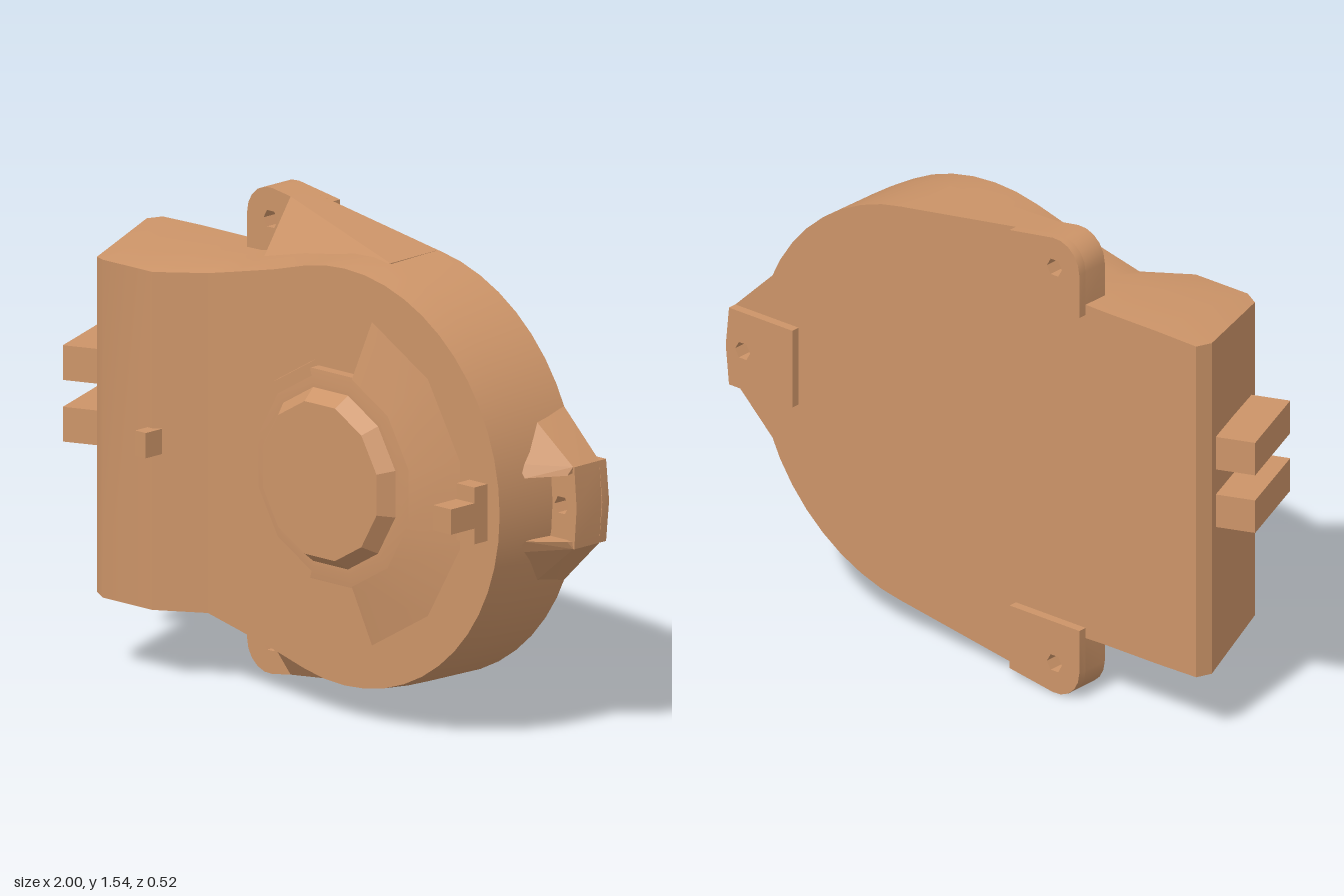
import * as THREE from 'three';
import { toCreasedNormals } from 'three/addons/utils/BufferGeometryUtils.js';
import { ConvexGeometry } from 'three/addons/geometries/ConvexGeometry.js';

const material = new THREE.MeshStandardMaterial({ color: 0xcc9468 });
const MID_Y = 0.77; // height of the horizontal symmetry line
const BACK = -0.23; // plane of the back plate

function add(parent, name, geometry, crease = 0.5) {
  const mesh = new THREE.Mesh(toCreasedNormals(geometry, crease), material);
  mesh.name = name;
  parent.add(mesh);
  return mesh;
}

// Box given by its limits on each axis
function block(parent, name, [x0, x1], [y0, y1], [z0, z1]) {
  const mesh = add(parent, name, new THREE.BoxGeometry(x1 - x0, y1 - y0, z1 - z0));
  mesh.position.set((x0 + x1) / 2, (y0 + y1) / 2, (z0 + z1) / 2);
  return mesh;
}

// Flat plate with an optional hexagonal screw hole
function plate(parent, name, points, z0, z1, hole) {
  const shape = new THREE.Shape(points.map(p => new THREE.Vector2(...p)));
  if (hole) {
    const ring = [];
    for (let i = 0; i < 6; i++) {
      const a = (i * Math.PI) / 3;
      ring.push(new THREE.Vector2(hole[0] + 0.03 * Math.cos(a), hole[1] + 0.03 * Math.sin(a)));
    }
    shape.holes.push(new THREE.Path(ring));
  }
  const geometry = new THREE.ExtrudeGeometry(shape, { depth: z1 - z0, bevelEnabled: false });
  geometry.translate(0, 0, z0);
  return add(parent, name, geometry);
}

function convex(parent, name, points) {
  return add(parent, name, new ConvexGeometry(points.map(p => new THREE.Vector3(...p))), 0.1);
}

// Housing: sections across the height, lofted from the square end to the round end
function housingGeometry() {
  const section = (back, middle, front) => {
    const half = [back, middle, front];
    return [
      ...half.map(([x, h, z]) => [x, -h, z]),
      ...half.reverse().map(([x, h, z]) => [x, h, z]),
    ];
  };
  const sections = [section([-0.87, 0.56, BACK], [-0.89, 0.56, -0.18], [-0.76, 0.53, 0.175])];
  const neck = [
    [-0.71, 0.56, 0.2], [-0.5, 0.56, 0.2], [-0.36, 0.563, 0.1],
    [-0.24, 0.59, 0.1], [-0.08, 0.627, 0.1],
  ];
  for (const [x, h, z] of neck) {
    sections.push(section([x, h + 0.003, BACK], [x, h, 0], [x, h - 0.025, z]));
  }
  const steps = 14;
  for (let i = 0; i <= steps; i++) {
    const a = THREE.MathUtils.lerp(1.83, 0, i / steps);
    const at = (r, z) => [0.22 + r * Math.cos(a), r * Math.sin(a), z];
    sections.push(section(at(0.675, BACK), at(0.67, 0), at(0.66, 0.1)));
  }
  const positions = [];
  const quad = (a, b, c, d) => positions.push(...a, ...b, ...c, ...a, ...c, ...d);
  for (let i = 0; i < sections.length - 1; i++) {
    const p = sections[i], q = sections[i + 1];
    for (let j = 0; j < 6; j++) quad(p[j], q[j], q[(j + 1) % 6], p[(j + 1) % 6]);
  }
  const end = sections[0];
  quad(end[0], end[1], end[4], end[5]);
  quad(end[1], end[2], end[3], end[4]);
  const geometry = new THREE.BufferGeometry();
  geometry.setAttribute('position', new THREE.Float32BufferAttribute(positions, 3));
  return geometry;
}

// Turned part facing forward, swept counter-clockwise from a start angle in degrees
function turned(parent, name, profile, sides, fromDeg, sweepDeg) {
  const rad = Math.PI / 180;
  const geometry = new THREE.LatheGeometry(
    profile.map(p => new THREE.Vector2(...p)), sides, (fromDeg + 90) * rad, sweepDeg * rad);
  geometry.rotateX(Math.PI / 2);
  geometry.translate(0.2, 0, 0);
  return add(parent, name, geometry, 0.15);
}

// Upper mounting ear with its sloping brace; mirrored for the lower one
function sideEar() {
  const ear = new THREE.Group();
  const rounded = [];
  for (let i = 0; i <= 5; i++) {
    const a = Math.PI - (i / 5) * (Math.PI / 2 + 0.12);
    rounded.push([-0.33 + 0.095 * Math.cos(a), 0.675 + 0.095 * Math.sin(a)]);
  }
  const hole = [-0.325, 0.67];
  plate(ear, 'earPad', [[-0.425, 0.53], ...rounded, [-0.145, 0.742], [-0.145, 0.53]], -0.26, BACK, hole);
  plate(ear, 'earBoss', [[-0.425, 0.54], ...rounded, [-0.24, 0.757], [-0.24, 0.54]], BACK, -0.14, hole);
  convex(ear, 'earBrace', [
    [-0.24, 0.757, BACK], [-0.24, 0.757, -0.14], [-0.24, 0.57, -0.01], [-0.24, 0.5, BACK],
    [0.3, 0.67, BACK], [0.3, 0.668, -0.02], [0.3, 0.6, -0.02], [0.3, 0.6, BACK],
  ]);
  return ear;
}

export function createModel() {
  const model = new THREE.Group();
  const body = new THREE.Group();
  body.name = 'gearHousing';
  body.position.y = MID_Y;
  model.add(body);

  add(body, 'housing', housingGeometry());

  // Twelve-sided hub with a shallow skirt on one side and a collar on the other
  turned(body, 'hub',
    [[0.345, 0.09], [0.345, 0.135], [0.3, 0.14], [0.285, 0.14], [0.25, 0.188], [0, 0.188]], 12, 15, 360);
  turned(body, 'hubSkirt', [[0.53, 0.1], [0.34, 0.138]], 5, -75, 150).material = material;
  turned(body, 'hubCollar', [[0.37, 0.09], [0.36, 0.138], [0.32, 0.138]], 5, 105, 150);

  // Mounting ears above and below
  for (const side of [1, -1]) {
    const ear = sideEar();
    ear.name = side > 0 ? 'upperEar' : 'lowerEar';
    ear.scale.y = side;
    body.add(ear);
  }

  // Mounting ear at the round end, with two braces
  const nose = [[0.73, -0.13], [0.985, -0.13], [0.998, 0], [0.985, 0.13], [0.73, 0.13]];
  plate(body, 'endEarPad', nose, -0.26, BACK, [0.93, 0]);
  const boss = [[0.875, -0.13], [0.985, -0.13], [0.995, 0], [0.985, 0.13], [0.875, 0.13]];
  plate(body, 'endEarBoss', boss, BACK, -0.12, [0.93, 0]);
  for (const side of [1, -1]) {
    convex(body, 'endEarBrace', [
      [0.83, 0.28, BACK], [0.82, 0.27, -0.1], [0.85, 0.11, BACK], [0.86, 0.14, 0],
      [0.89, 0.1, 0], [0.975, 0.105, -0.1], [0.985, 0.13, BACK], [0.98, 0.13, -0.12],
    ].map(([x, y, z]) => [x, side * y, z]));
  }

  // Two tilted terminals on the square end
  for (const y of [-0.02, 0.175]) {
    const terminal = add(body, 'terminal', new THREE.BoxGeometry(0.128, 0.11, 0.32));
    terminal.position.set(-0.885, y, 0.02);
    terminal.rotation.y = 0.366;
  }

  // Locating pegs on the front
  block(body, 'smallPeg', [-0.52, -0.475], [-0.04, 0.04], [0.18, 0.255]);
  block(body, 'tallPeg', [0.752, 0.828], [-0.04, 0.04], [0.08, 0.26]);
  block(body, 'pegFoot', [0.752, 0.828], [-0.09, 0.09], [0.08, 0.158]);

  return model;
}
